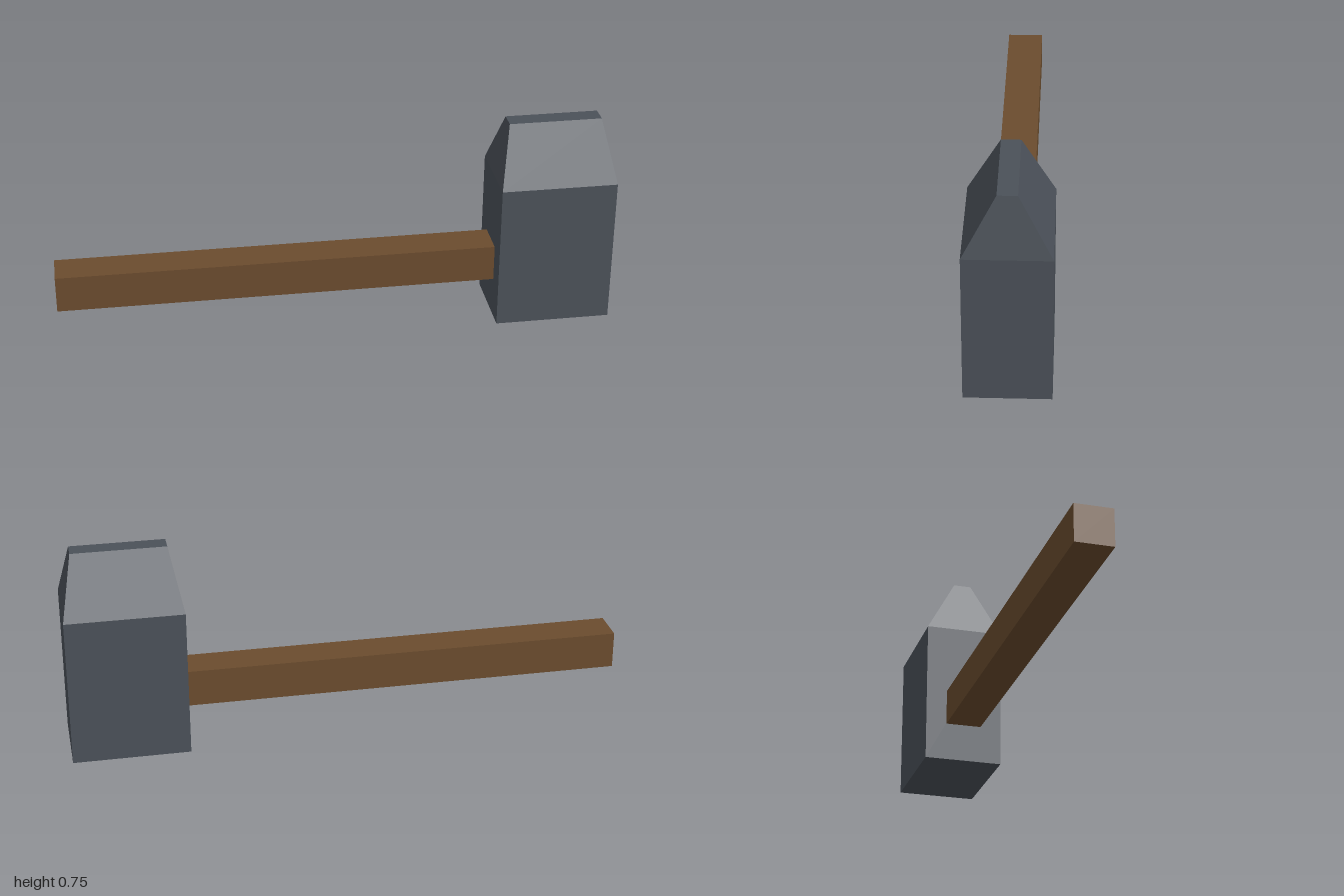
import * as THREE from 'three';

// Box whose top face is narrowed to the given width and depth
function taperedBox(w, h, d, topW, topD) {
  const geo = new THREE.BoxGeometry(w, h, d);
  const p = geo.attributes.position;
  for (let i = 0; i < p.count; i++) {
    if (p.getY(i) > 0) {
      p.setX(i, Math.sign(p.getX(i)) * topW / 2);
      p.setZ(i, Math.sign(p.getZ(i)) * topD / 2);
    }
  }
  geo.computeVertexNormals();
  return geo;
}

export function createModel() {
  const steel = new THREE.MeshStandardMaterial({ name: 'dark steel', color: 0x4b5159, flatShading: true });
  const wood = new THREE.MeshStandardMaterial({ name: 'brown wood', color: 0x6b4c2e, flatShading: true });

  const model = new THREE.Group();
  model.name = 'hammer';
  const add = (name, geo, mat, x, y) => {
    const mesh = new THREE.Mesh(geo, mat);
    mesh.name = name;
    mesh.position.set(x, y, 0);
    model.add(mesh);
  };

  const headX = 0.791, headW = 0.418, headD = 0.292, bodyH = 0.54, peenH = 0.21;

  // Head: square block with a wedge peen on top
  const head = new THREE.BoxGeometry(headW, bodyH, headD);
  add('headBlock', head, steel, headX, bodyH / 2);
  add('headPeen', taperedBox(headW, peenH, headD, 0.334, 0.066), steel, headX, bodyH + peenH / 2);

  // Handle: square bar running into the head
  add('handle', new THREE.BoxGeometry(1.7, 0.134, 0.134), wood, -0.15, 0.21);

  return model;
}
